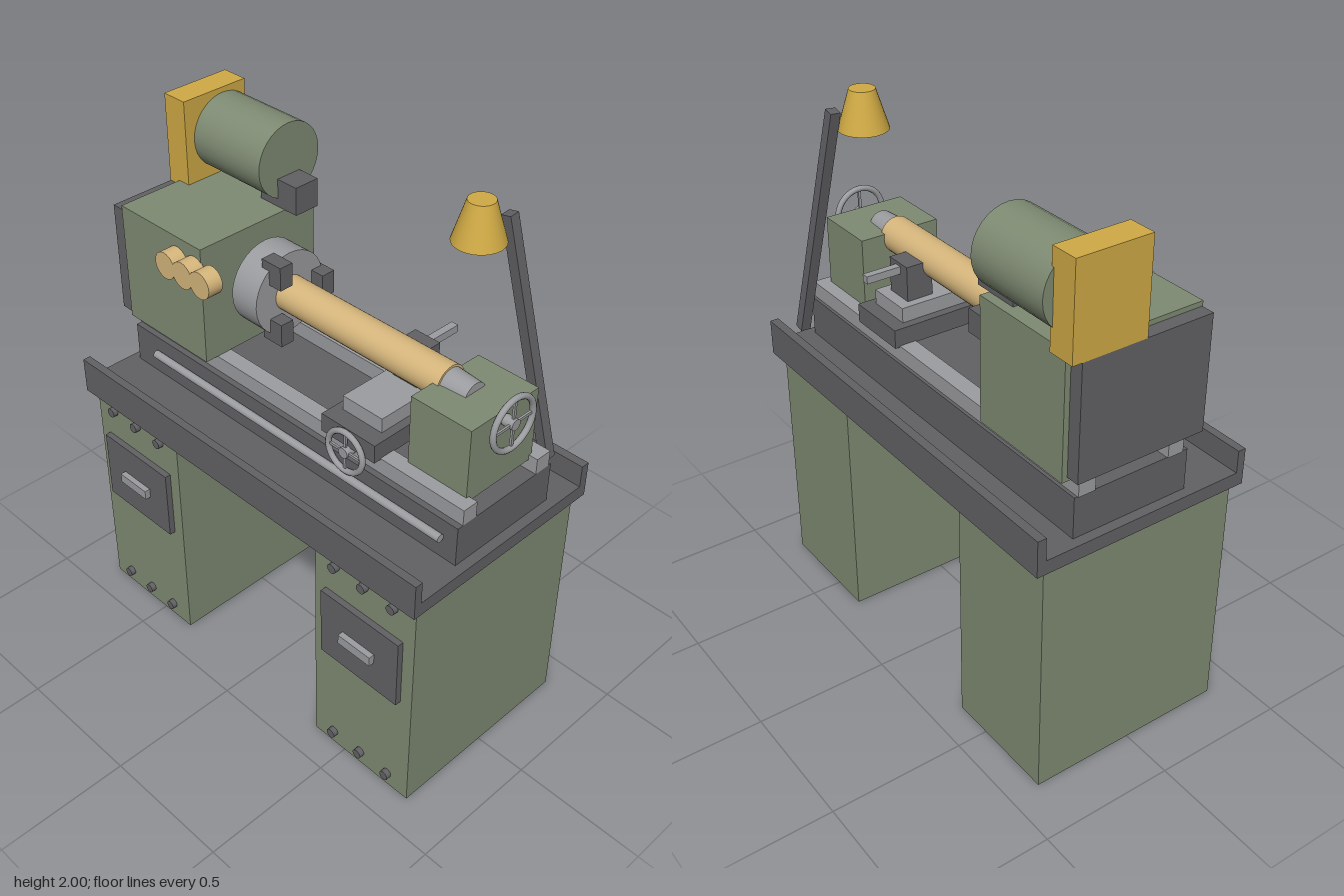
import * as THREE from 'three';

const paint = (name, color) => {
  const m = new THREE.MeshStandardMaterial({ color });
  m.name = name;
  return m;
};

export function createModel() {
  const model = new THREE.Group();
  model.name = 'latheOnStand';
  const green = paint('machineGreen', 0x7f8b73);
  const dark = paint('darkIron', 0x626165);
  const steel = paint('steel', 0x9c9da0);
  const yellow = paint('yellow', 0xd0aa45);
  const wood = paint('wood', 0xd6b67c);

  const add = (name, geometry, material, parent = model) => {
    const mesh = new THREE.Mesh(geometry, material);
    mesh.name = name;
    parent.add(mesh);
    return mesh;
  };
  // Box given by its limits on each axis
  const box = (name, mat, [x0, x1], [y0, y1], [z0, z1], parent) => {
    const mesh = add(name, new THREE.BoxGeometry(x1 - x0, y1 - y0, z1 - z0), mat, parent);
    mesh.position.set((x0 + x1) / 2, (y0 + y1) / 2, (z0 + z1) / 2);
    return mesh;
  };
  // Cylinder lying along x, from x0 to x1
  const rodX = (name, mat, r, x0, x1, y, z, r1 = r, parent = model) => {
    const g = new THREE.CylinderGeometry(r1, r, x1 - x0, 32).rotateZ(-Math.PI / 2);
    const mesh = add(name, g, mat, parent);
    mesh.position.set((x0 + x1) / 2, y, z);
    return mesh;
  };
  // Cylinder lying along z, from z0 to z1
  const rodZ = (name, mat, r, x, y, z0, z1, parent = model) => {
    const g = new THREE.CylinderGeometry(r, r, z1 - z0, 24).rotateX(Math.PI / 2);
    const mesh = add(name, g, mat, parent);
    mesh.position.set(x, y, (z0 + z1) / 2);
    return mesh;
  };
  // Spoked wheel facing +z
  const handwheel = (name, radius, tube) => {
    const wheel = new THREE.Group();
    wheel.name = name;
    add('wheelRim', new THREE.TorusGeometry(radius - tube, tube, 10, 36), steel, wheel);
    rodZ('wheelHub', steel, 0.02, 0, 0, -0.03, 0.012, wheel);
    for (let i = 0; i < 2; i++) {
      const spoke = add('wheelSpoke', new THREE.BoxGeometry(2 * (radius - tube), 0.01, 0.008), steel, wheel);
      spoke.rotation.z = i * Math.PI / 2;
    }
    model.add(wheel);
    return wheel;
  };

  // Cabinets with drawer fronts, handles and bolts
  for (const cx of [-0.577, 0.577]) {
    const cabinet = new THREE.Group();
    cabinet.name = cx < 0 ? 'rightCabinet' : 'leftCabinet';
    model.add(cabinet);
    box('cabinetBody', green, [cx - 0.224, cx + 0.224], [0, 0.915], [-0.385, 0.38], cabinet);
    box('drawerFront', dark, [cx - 0.175, cx + 0.175], [0.46, 0.738], [0.38, 0.403], cabinet);
    box('drawerHandle', steel, [cx - 0.072, cx + 0.072], [0.582, 0.62], [0.403, 0.425], cabinet);
    for (const dx of [-0.13, 0, 0.13])
      for (const y of [0.057, 0.862]) rodZ('bolt', dark, 0.018, cx + dx, y, 0.37, 0.4, cabinet);
  }

  // Chip tray with front and back lips
  box('tray', dark, [-0.822, 0.822], [0.915, 0.967], [-0.425, 0.415]);
  box('trayFrontLip', dark, [-0.822, 0.822], [0.955, 1.052], [0.385, 0.415]);
  box('trayBackLip', dark, [-0.822, 0.822], [0.955, 1.052], [-0.425, -0.392]);

  // Bed, ways and lead screw
  box('bed', dark, [-0.785, 0.785], [0.967, 1.12], [-0.262, 0.19]);
  box('frontWay', steel, [-0.79, 0.785], [1.12, 1.18], [0.105, 0.167]);
  box('backWay', steel, [-0.79, 0.785], [1.12, 1.18], [-0.25, -0.185]);
  rodX('leadScrew', steel, 0.015, -0.66, 0.73, 1.055, 0.204);

  // Headstock, end cover, belt guard and motor
  box('headstock', green, [-0.77, -0.355], [1.18, 1.63], [-0.3, 0.218]);
  box('endCover', dark, [-0.82, -0.77], [1.195, 1.612], [-0.28, 0.215]);
  box('beltGuard', yellow, [-0.822, -0.72], [1.612, 1.945], [-0.318, -0.042]);
  rodX('motor', green, 0.138, -0.73, -0.388, 1.788, -0.217);
  box('motorSwitchBox', dark, [-0.475, -0.298], [1.63, 1.735], [-0.265, -0.163]);
  for (const x of [-0.475, -0.387, -0.3]) rodZ('speedKnob', wood, 0.05, x, 1.542, 0.215, 0.275);

  // Chuck with three jaws, and the workpiece
  const axisY = 1.42, axisZ = -0.042;
  rodX('spindle', steel, 0.08, -0.37, -0.32, axisY, axisZ);
  rodX('chuck', steel, 0.155, -0.325, -0.205, axisY, axisZ);
  for (let i = 0; i < 3; i++) {
    const a = Math.PI / 3 + i * Math.PI * 2 / 3;
    const jaw = add('chuckJaw', new THREE.BoxGeometry(0.09, 0.088, 0.055), dark);
    jaw.position.set(-0.195, axisY + 0.13 * Math.sin(a), axisZ + 0.13 * Math.cos(a));
  }
  rodX('workpiece', wood, 0.065, -0.21, 0.527, axisY, axisZ);

  // Tailstock
  rodX('tailstockCentre', steel, 0.057, 0.527, 0.627, axisY, axisZ, 0.05);
  box('tailstock', green, [0.505, 0.75], [1.16, 1.44], [-0.198, 0.117]);
  rodX('tailstockShaft', steel, 0.018, 0.74, 0.79, 1.405, -0.038);
  const tailWheel = handwheel('tailstockHandwheel', 0.105, 0.011);
  tailWheel.rotation.y = Math.PI / 2;
  tailWheel.position.set(0.784, 1.405, -0.038);

  // Carriage, tool post and feed wheel
  box('saddle', dark, [0.193, 0.432], [1.175, 1.245], [-0.268, 0.195]);
  box('crossSlide', steel, [0.225, 0.4], [1.245, 1.3], [-0.215, 0.13]);
  box('toolPost', dark, [0.257, 0.365], [1.3, 1.43], [-0.172, -0.07]);
  box('toolPostHandle', steel, [0.298, 0.326], [1.39, 1.418], [-0.305, -0.165]);
  const feedWheel = handwheel('feedHandwheel', 0.088, 0.011);
  feedWheel.position.set(0.312, 1.16, 0.205);

  // Work lamp on a leaning arm
  const foot = new THREE.Vector3(0.705, 1.055, -0.35);
  const tip = new THREE.Vector3(0.522, 1.93, -0.272);
  const arm = add('lampArm', new THREE.BoxGeometry(0.038, foot.distanceTo(tip), 0.038), dark);
  arm.position.copy(foot).lerp(tip, 0.5);
  arm.quaternion.setFromUnitVectors(new THREE.Vector3(0, 1, 0), tip.clone().sub(foot).normalize());
  const shade = add('lampShade', new THREE.CylinderGeometry(0.045, 0.088, 0.14, 28), yellow);
  shade.position.set(0.487, 1.93, -0.178);

  return model;
}
